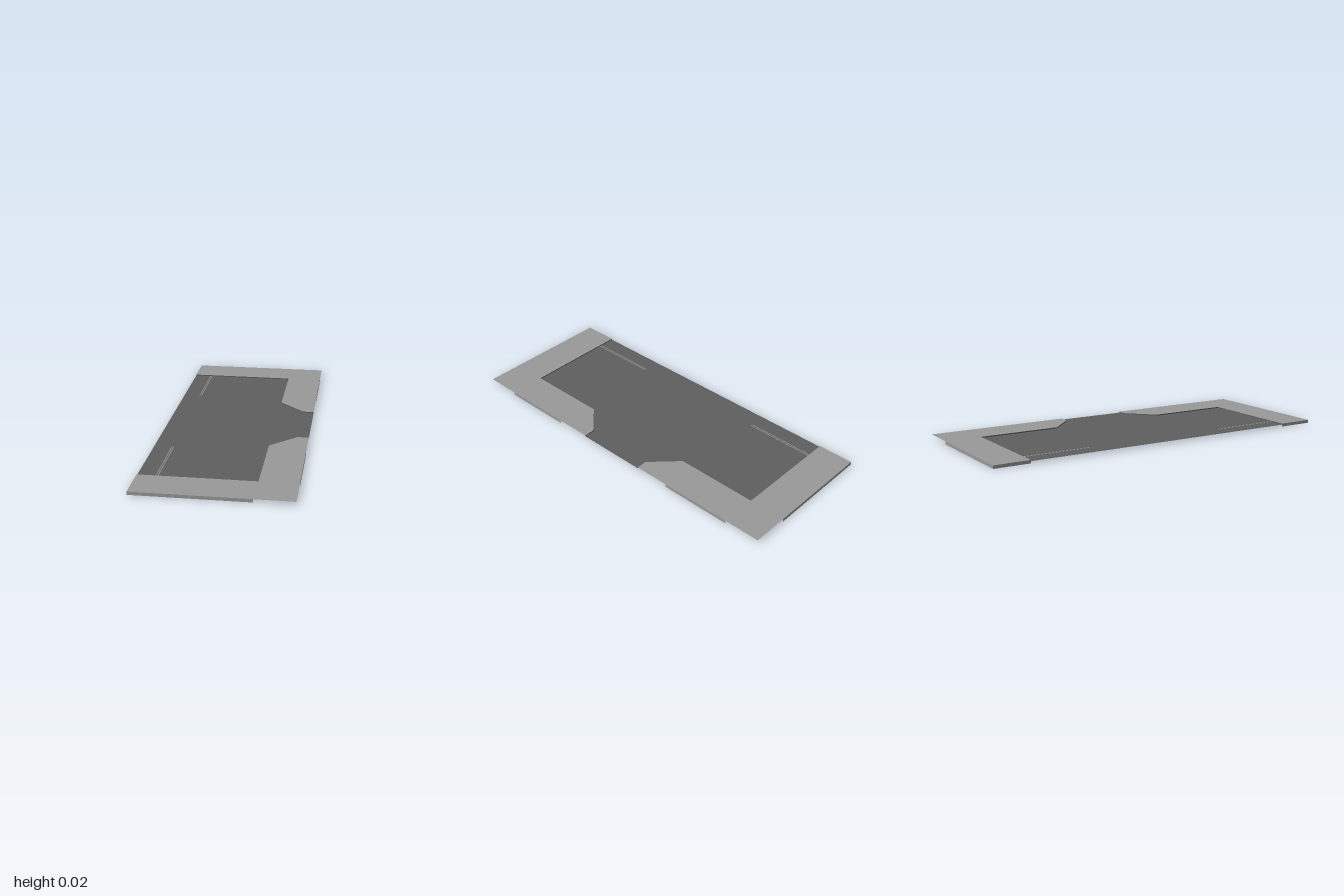
import * as THREE from 'three';

const TOP = 0.017;   // pavement level
const ROAD = 0.011;  // road level

const makeMaterial = (name, color) => {
  const m = new THREE.MeshStandardMaterial({ color, side: THREE.DoubleSide });
  m.name = name;
  return m;
};

// Outline of one kerb, running from the open side to the side exit (x, z)
const kerbLine = [[-0.4, 0.8], [0.2, 0.8], [0.2, 0.34], [0.34, 0.2], [0.4, 0.2]];

// Flat horizontal sheet from an x, z outline, facing up
function sheet(name, points, y, material) {
  const shape = new THREE.Shape(points.map(([x, z]) => new THREE.Vector2(x, -z)));
  const geometry = new THREE.ShapeGeometry(shape).rotateX(-Math.PI / 2);
  const mesh = new THREE.Mesh(geometry, material);
  mesh.position.y = y;
  mesh.name = name;
  return mesh;
}

// Upright strip from a to b, facing right of the direction of travel seen from above
function wall(name, [ax, az], [bx, bz], low, high, material) {
  const dx = bx - ax, dz = bz - az;
  const mesh = new THREE.Mesh(new THREE.PlaneGeometry(Math.hypot(dx, dz), high - low), material);
  mesh.position.set((ax + bx) / 2, (low + high) / 2, (az + bz) / 2);
  mesh.rotation.y = Math.atan2(-dz, dx);
  mesh.name = name;
  return mesh;
}

export function createModel() {
  const group = new THREE.Group();
  group.name = 'roadTile';
  const pavementGrey = makeMaterial('pavementGrey', 0x999999);
  const asphalt = makeMaterial('asphalt', 0x5f5f5f);

  // Road surface with a flared exit on the left side
  const mirrored = kerbLine.map(([x, z]) => [x, -z]).reverse();
  group.add(sheet('road', [...kerbLine, ...mirrored], ROAD, asphalt));

  for (const s of [1, -1]) {
    const flip = ([x, z]) => [x, z * s];
    const side = new THREE.Group();
    side.name = s > 0 ? 'frontPavement' : 'backPavement';

    // L-shaped pavement top
    side.add(sheet('pavementTop', [...kerbLine, [0.4, 1], [-0.4, 1]].map(flip), TOP, pavementGrey));

    // Kerb face facing the road
    for (let i = 0; i < kerbLine.length - 1; i++) {
      const ends = [flip(kerbLine[i]), flip(kerbLine[i + 1])];
      if (s > 0) ends.reverse();
      side.add(wall('kerb', ends[0], ends[1], ROAD, TOP, asphalt));
    }

    // Outer skirts, left open at the corner and beside the exit
    const skirts = [
      [[-0.4, 1], [0.2, 1]],
      [[0.4, 0.8], [0.4, 0.4]],
      [[-0.4, 0.8], [-0.4, 1]],
    ];
    for (const skirt of skirts) {
      const ends = skirt.map(flip);
      if (s < 0) ends.reverse();
      side.add(wall('skirt', ends[0], ends[1], 0, TOP, pavementGrey));
    }

    // Pair of hairlines on the road
    for (const x of [-0.306, -0.296]) {
      const w = 0.002;
      const line = [[x - w, 0.41], [x + w, 0.41], [x + w, 0.8], [x - w, 0.8]].map(flip);
      side.add(sheet('roadLine', line, ROAD + 0.0005, pavementGrey));
    }
    group.add(side);
  }
  return group;
}
